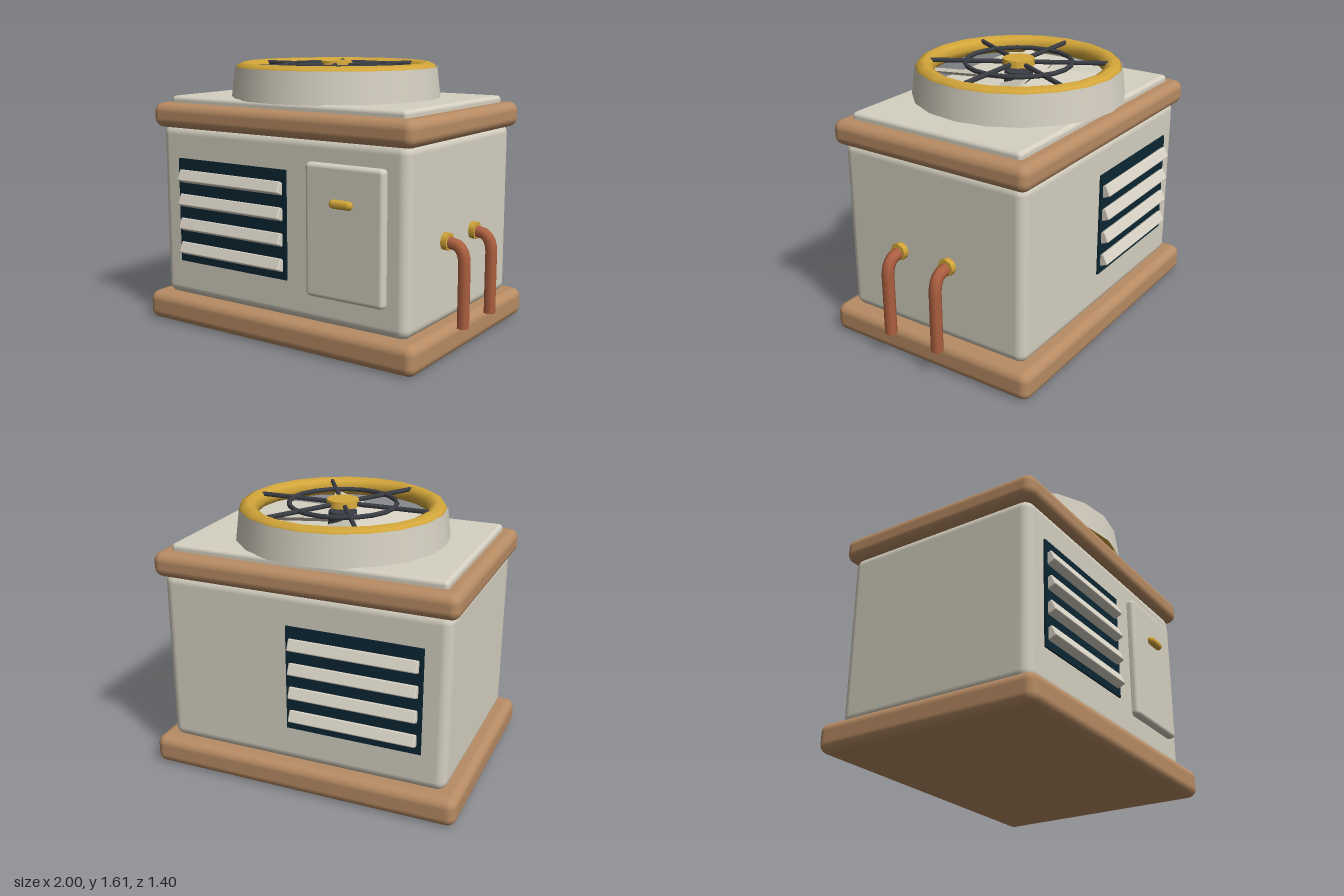
import * as THREE from 'three';
import { RoundedBoxGeometry } from 'three/addons/geometries/RoundedBoxGeometry.js';

const paint = (name, color) => {
  const m = new THREE.MeshStandardMaterial({ color });
  m.name = name;
  return m;
};

export function createModel() {
  const model = new THREE.Group();
  model.name = 'airConditioner';
  const cream = paint('cream', 0xd5d0c1);
  const slatCream = paint('light cream', 0xdad4c6);
  const tan = paint('tan', 0xb88c64);
  const navy = paint('navy', 0x0b2633);
  const gold = paint('gold', 0xd4a73a);
  const copper = paint('copper', 0xae6040);
  const iron = paint('iron', 0x3b3e45);
  const CX = -0.04; // centre line of the cabinet

  const add = (name, geometry, material, x = 0, y = 0, z = 0, parent = model) => {
    const mesh = new THREE.Mesh(geometry, material);
    mesh.name = name;
    mesh.position.set(x, y, z);
    parent.add(mesh);
    return mesh;
  };
  // Rounded box given by its limits
  const slab = (name, material, x0, x1, y0, y1, z0, z1, r) =>
    add(name, new RoundedBoxGeometry(x1 - x0, y1 - y0, z1 - z0, 3, r), material,
      (x0 + x1) / 2, (y0 + y1) / 2, (z0 + z1) / 2);

  // Cabinet
  slab('base', tan, -1, 0.92, 0, 0.175, -0.7, 0.7, 0.055);
  slab('body', cream, -0.915, 0.835, 0.165, 1.23, -0.62, 0.62, 0.06);
  slab('topTrim', tan, -0.955, 0.88, 1.21, 1.36, -0.66, 0.66, 0.055);
  slab('topPanel', cream, -0.87, 0.795, 1.33, 1.4, -0.575, 0.575, 0.025);

  // Louvred vents, front and back
  for (const side of [1, -1]) {
    const vent = new THREE.Group();
    vent.name = side > 0 ? 'frontVent' : 'backVent';
    model.add(vent);
    add('ventPanel', new THREE.BoxGeometry(0.815, 0.64, 0.02), navy, -0.3625, 0.71, side * 0.62, vent);
    for (let i = 0; i < 4; i++) {
      const slat = add('slat', new RoundedBoxGeometry(0.765, 0.072, 0.055, 2, 0.008), slatCream,
        -0.3625, 0.477 + i * 0.149, side * 0.64, vent);
      slat.rotation.x = -side * 0.42;
    }
  }

  // Access door and handle
  slab('door', cream, 0.2, 0.71, 0.335, 1.095, 0.6, 0.665, 0.025);
  const handle = add('handle', new THREE.CapsuleGeometry(0.026, 0.096, 4, 8), gold, 0.452, 0.885, 0.677);
  handle.rotation.z = Math.PI / 2;

  // Pipes with flanges on the side
  for (const z of [0.215, -0.125]) {
    const flange = add('pipeFlange', new THREE.CylinderGeometry(0.052, 0.052, 0.045, 8), gold, 0.848, 0.648, z);
    flange.rotation.z = Math.PI / 2;
    const path = new THREE.CurvePath();
    const v = (x, y) => new THREE.Vector3(x, y, z);
    path.add(new THREE.LineCurve3(v(0.83, 0.645), v(0.89, 0.64)));
    path.add(new THREE.QuadraticBezierCurve3(v(0.89, 0.64), v(0.96, 0.635), v(0.963, 0.53)));
    path.add(new THREE.LineCurve3(v(0.963, 0.53), v(0.963, 0.165)));
    add('pipe', new THREE.TubeGeometry(path, 20, 0.036, 8), copper);
  }

  // Fan assembly
  const fan = new THREE.Group();
  fan.name = 'fanAssembly';
  fan.position.x = CX;
  model.add(fan);
  add('shroud', new THREE.CylinderGeometry(0.615, 0.638, 0.185, 20, 1, true), cream, 0, 1.488, 0, fan);
  const rim = add('rim', new THREE.TorusGeometry(0.56, 0.057, 8, 20), gold, 0, 1.55, 0, fan);
  rim.rotation.x = Math.PI / 2;
  add('motor', new THREE.CylinderGeometry(0.085, 0.1, 0.1, 12), iron, 0, 1.44, 0, fan);
  add('fanHub', new THREE.CylinderGeometry(0.085, 0.085, 0.06, 12), iron, 0, 1.51, 0, fan);

  // Pitched blades
  for (let i = 0; i < 4; i++) {
    const arm = new THREE.Group();
    arm.name = 'bladeArm';
    arm.position.y = 1.49;
    arm.rotation.y = 0.31 + i * Math.PI / 2;
    fan.add(arm);
    const blade = add('blade', new THREE.BoxGeometry(0.45, 0.02, 0.19), cream, 0.275, 0, 0, arm);
    blade.rotation.x = 0.38;
  }

  // Guard: spokes, ring and cap
  for (let i = 0; i < 6; i++) {
    const spoke = new THREE.Group();
    spoke.name = 'guardSpoke';
    spoke.rotation.y = i * Math.PI / 3;
    fan.add(spoke);
    const bar = add('spokeBar', new THREE.CylinderGeometry(0.014, 0.014, 0.47, 6), iron, 0.29, 1.588, 0, spoke);
    bar.rotation.z = Math.PI / 2;
  }
  const ring = add('guardRing', new THREE.TorusGeometry(0.318, 0.014, 6, 20), iron, 0, 1.588, 0, fan);
  ring.rotation.x = Math.PI / 2;
  add('guardCap', new THREE.CylinderGeometry(0.095, 0.1, 0.04, 12), gold, 0, 1.592, 0, fan);

  return model;
}
